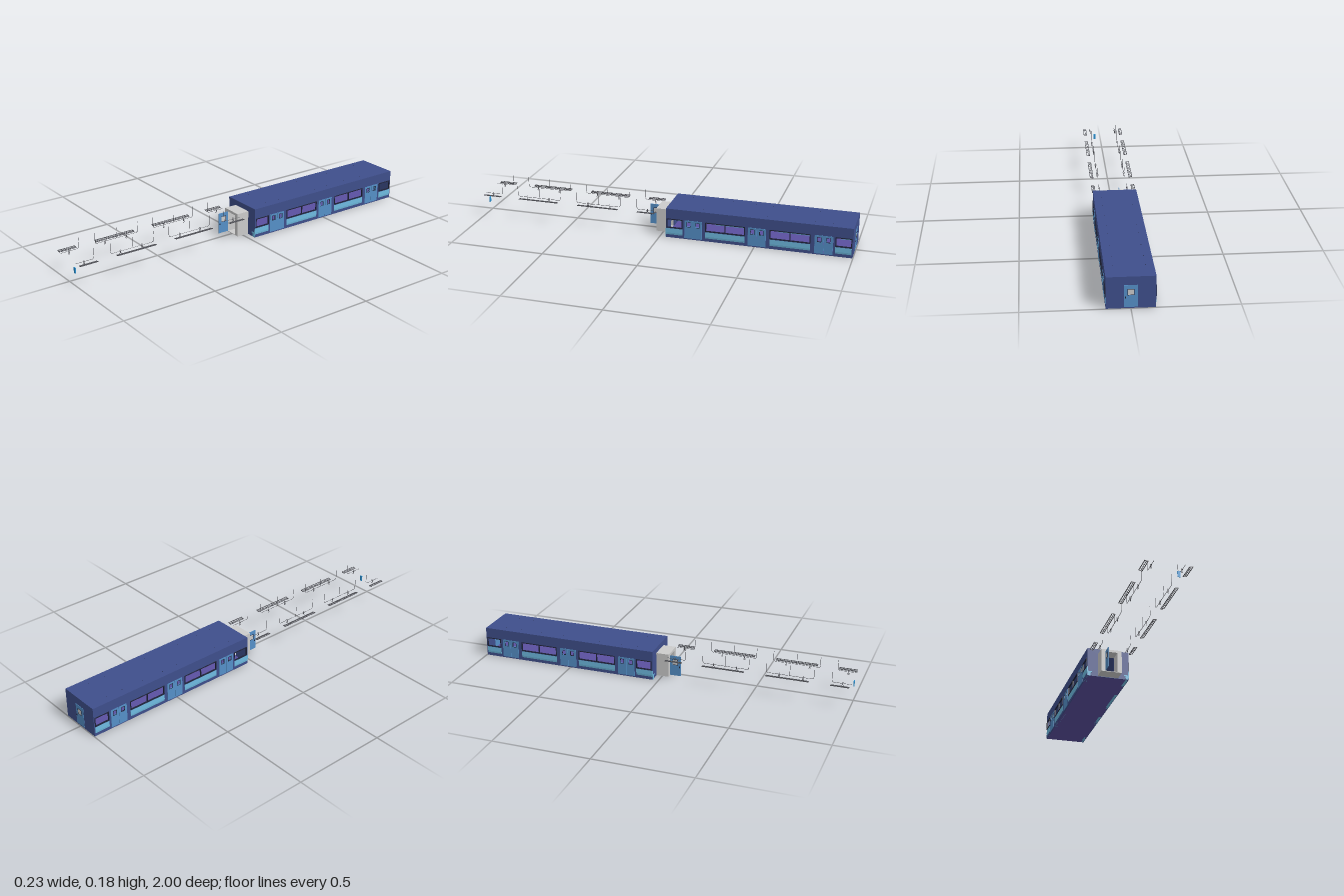
import * as THREE from 'three';

const mat = (color, double) => new THREE.MeshStandardMaterial({ color, side: double ? THREE.DoubleSide : THREE.FrontSide, roughness: 0.8 });
const M = {
  body: mat(0x3f4f8c), floor: mat(0x5a50a0), door: mat(0x5590c8), seat: mat(0x6fbce2),
  frame: mat(0x1f2338), metal: mat(0x55565c), grey: mat(0xcccccc), panel: mat(0x2c94d6),
};
const HW = 0.1135, Z0 = -0.997, Z1 = -0.032;

function add(parent, name, geo, material, x = 0, y = 0, z = 0) {
  const m = new THREE.Mesh(geo, material);
  m.name = name;
  m.position.set(x, y, z);
  parent.add(m);
  return m;
}
const box = (p, name, mt, x0, x1, y0, y1, z0, z1) =>
  add(p, name, new THREE.BoxGeometry(x1 - x0, y1 - y0, z1 - z0), mt, (x0 + x1) / 2, (y0 + y1) / 2, (z0 + z1) / 2);

// Flat plate with rectangular holes; rectangles are [u0, u1, v0, v1]
function plate(rect, holes, depth) {
  const path = (C, [a, b, c, d]) => {
    const p = new C();
    p.moveTo(a, c); p.lineTo(b, c); p.lineTo(b, d); p.lineTo(a, d); p.closePath();
    return p;
  };
  const s = path(THREE.Shape, rect);
  s.holes = holes.map(h => path(THREE.Path, h));
  return new THREE.ExtrudeGeometry(s, { depth, bevelEnabled: false }).translate(0, 0, -depth / 2);
}
// Plate turned so that u runs along z
const sidePlate = (rect, holes, depth) => plate(rect, holes, depth).rotateY(-Math.PI / 2);

// Car layout along z
const doors = [-0.178, -0.512, -0.852];
const bays = [[-0.122, -0.037], [-0.45, -0.243], [-0.785, -0.578], [-0.992, -0.91]];
const WY = [0.056, 0.106];

function buildSide(car, s) {
  const side = new THREE.Group();
  side.name = s > 0 ? 'leftSide' : 'rightSide';
  car.add(side);
  const holes = [...bays.map(b => [b[0], b[1], ...WY]), ...doors.map(d => [d - 0.047, d + 0.047, 0.008, 0.106])];
  add(side, 'sideWall', sidePlate([Z0, Z1, 0.002, 0.16], holes, 0.005), M.body, s * (HW - 0.0025));

  // Window frames, with a middle divider in the long bays
  for (const [a, b] of bays) {
    const t = 0.004, mid = (a + b) / 2;
    const panes = b - a > 0.15
      ? [[a + t, mid - t / 2, WY[0] + t, WY[1] - t], [mid + t / 2, b - t, WY[0] + t, WY[1] - t]]
      : [[a + t, b - t, WY[0] + t, WY[1] - t]];
    add(side, 'windowFrame', sidePlate([a, b, ...WY], panes, 0.007), M.frame, s * (HW - 0.0005));
  }

  // Double-leaf doors with small windows
  for (const d of doors) for (const k of [-1, 1]) {
    const c = d + k * 0.0235, h = 0.0228;
    const win = [c - 0.009, c + 0.009, 0.072, 0.095];
    add(side, 'sideDoor', sidePlate([c - h, c + h, 0.008, 0.106], [win], 0.005), M.door, s * (HW - 0.001));
    const [a, b, y0, y1] = win;
    add(side, 'doorWindowFrame', sidePlate([a - 0.002, b + 0.002, y0 - 0.002, y1 + 0.002], [win], 0.006), M.frame, s * (HW - 0.001));
  }

  // Bench profile running along each window bay
  const pts = [[0.111, 0.002], [0.097, 0.002], [0.095, 0.02], [0.087, 0.022], [0.087, 0.028],
    [0.108, 0.027], [0.111, 0.05], [0.115, 0.053], [0.115, 0.028]];
  for (const [a, b] of bays) {
    const front = b > -0.05 ? 0.007 : 0, outline = pts.map(p => new THREE.Vector2(p[0] * s, p[1]));
    const g = new THREE.ExtrudeGeometry(new THREE.Shape(outline), { depth: b - a + front, bevelEnabled: false });
    add(side, 'bench', g, M.seat, 0, 0, a);
  }
}

// End door with a framed window, built facing z with its centre on x = 0
function endDoor(name) {
  const g = new THREE.Group();
  g.name = name;
  box(g, 'doorLeaf', M.door, -0.031, 0.031, 0.008, 0.118, -0.0015, 0.0015);
  add(g, 'doorWindowFrame', plate([-0.015, 0.015, 0.068, 0.099], [[-0.013, 0.013, 0.07, 0.097]], 0.005), M.frame);
  box(g, 'doorWindow', M.grey, -0.013, 0.013, 0.07, 0.097, -0.002, 0.002);
  for (const k of [-1, 1]) box(g, 'doorHandle', M.frame, 0.022, 0.026, 0.054, 0.062, k * 0.003 - 0.0015, k * 0.003 + 0.0015);
  return g;
}

// Ceiling-hung rail with posts and grab rings
function handRail(parent, x, z0, z1, posts, rings) {
  const g = new THREE.Group();
  g.name = 'handRail';
  parent.add(g);
  const y = 0.122, r = 0.0011;
  const bar = (name, len, px, py, pz, alongZ) => {
    const c = new THREE.CylinderGeometry(r, r, len, 6);
    if (alongZ) c.rotateX(Math.PI / 2);
    add(g, name, c, M.metal, px, py, pz);
  };
  bar('rail', z1 - z0, x, y, (z0 + z1) / 2, true);
  for (const [pz, bend] of posts) {
    // end posts bend into the rail
    const curve = new THREE.QuadraticBezierCurve3(new THREE.Vector3(x, y, pz - bend * 0.012),
      new THREE.Vector3(x, y, pz), new THREE.Vector3(x, y + 0.014, pz));
    if (bend) add(g, 'railBend', new THREE.TubeGeometry(curve, 5, r, 6), M.metal);
    const low = bend ? y + 0.014 : y;
    bar('railPost', 0.178 - low, x, (0.178 + low) / 2, pz, false);
  }
  for (const rz of rings) {
    add(g, 'strapLoop', new THREE.TorusGeometry(0.0045, 0.0011, 5, 10), M.metal, x, 0.124, rz);
    box(g, 'strap', M.metal, x - 0.001, x + 0.001, 0.113, 0.12, rz - 0.002, rz + 0.002);
    add(g, 'grabRing', new THREE.TorusGeometry(0.0045, 0.001, 5, 10).rotateY(Math.PI / 2), M.metal, x, 0.11, rz);
  }
}

// Slatted luggage rack with sloping cross bars
function luggageRack(parent, s, z0, z1) {
  const g = new THREE.Group();
  g.name = 'luggageRack';
  parent.add(g);
  const off = -0.002, len = z1 - z0;
  for (const [x, y, w] of [[0.098, 0.118, 0.003], [0.105, 0.1195, 0.0016], [0.114, 0.121, 0.003]])
    add(g, 'rackBar', new THREE.BoxGeometry(w, 0.0025, len), M.metal, s * x + off, y, (z0 + z1) / 2);
  const n = Math.max(3, Math.round(len / 0.02));
  for (let i = 0; i <= n; i++) {
    const end = i === 0 || i === n;
    const m = add(g, 'rackSlat', new THREE.BoxGeometry(0.018, end ? 0.004 : 0.0012, 0.0016), M.metal,
      s * 0.106 + off, 0.1193, z0 + 0.001 + (len - 0.002) * i / n);
    m.rotation.z = s * 0.18;
  }
}

export function createModel() {
  const root = new THREE.Group();
  root.name = 'railCar';
  const car = new THREE.Group();
  car.name = 'carBody';
  root.add(car);

  // Shell
  box(car, 'roof', M.body, -HW + 0.004, HW - 0.004, 0.152, 0.16, Z0 + 0.001, Z1 - 0.001);
  box(car, 'floor', M.floor, -HW + 0.004, HW - 0.004, 0.002, 0.009, Z0 + 0.001, Z1 - 0.001);
  const doorway = [-0.031, 0.031, 0.008, 0.118];
  for (const z of [Z1 - 0.0025, Z0 + 0.0025])
    add(car, 'endWall', plate([-HW + 0.004, HW - 0.004, 0.002, 0.16], [doorway], 0.005), M.body, 0, 0, z);
  for (const s of [-1, 1]) buildSide(car, s);

  // Roof studs in two rows
  for (const x of [-0.075, 0.073]) for (const z of [-0.13, -0.22, -0.345, -0.465, -0.555, -0.68, -0.8, -0.89])
    add(car, 'roofStud', new THREE.CylinderGeometry(0.0015, 0.0015, 0.002, 6), M.frame, x, 0.16, z);

  // Gangway, rear door and the open front door
  add(root, 'gangway', plate([-0.056, 0.055, 0.005, 0.131], [doorway], 0.069), M.grey, 0, 0, 0.0025);
  const rear = endDoor('rearDoor');
  rear.position.z = Z0;
  root.add(rear);
  const open = endDoor('openFrontDoor');
  open.rotation.y = -Math.PI / 2;
  open.position.set(-0.033, 0, 0.065);
  root.add(open);

  // Rails, racks and wall panel standing ahead of the car
  const fittings = new THREE.Group();
  fittings.name = 'cabinFittings';
  root.add(fittings);
  for (const x of [-0.075, 0.073]) {
    handRail(fittings, x, 0.037, 0.126, [[0.138, 1]], [0.08]);
    handRail(fittings, x, 0.242, 0.463, [[0.23, -1], [0.352, 0], [0.475, 1]], [0.288, 0.41]);
    handRail(fittings, x, 0.577, 0.798, [[0.565, -1], [0.687, 0], [0.81, 1]], [0.632, 0.755]);
    handRail(fittings, x, 0.912, 1, [[0.9, -1]], [0.955]);
  }
  for (const s of [-1, 1])
    for (const [a, b] of [[0.035, 0.126], [0.236, 0.457], [0.571, 0.79], [0.9, 0.994]]) luggageRack(fittings, s, a, b);
  box(fittings, 'wallPanel', M.panel, 0.037, 0.051, 0.06, 0.09, 0.989, 0.993);
  return root;
}
